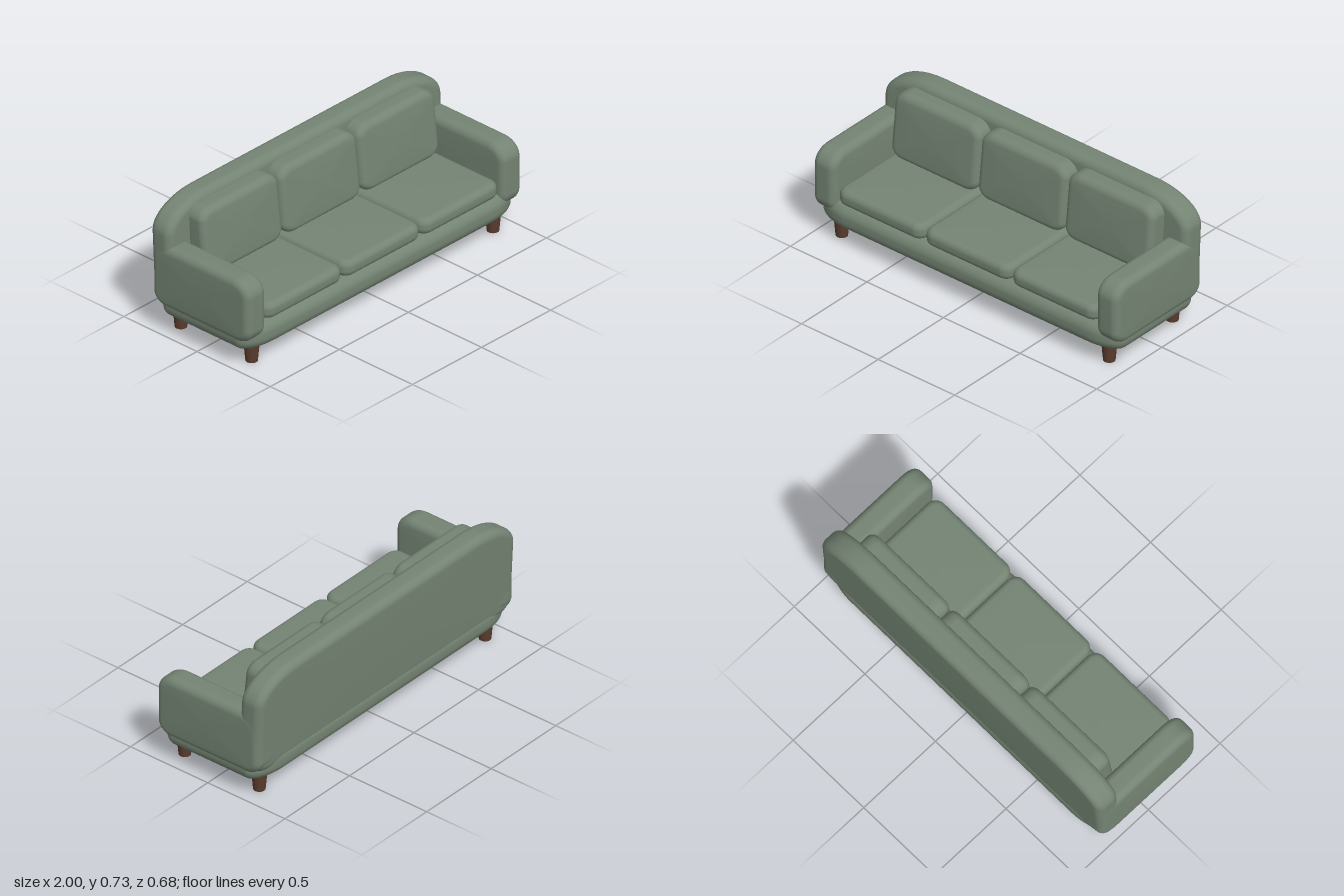
import * as THREE from 'three';
import { mergeVertices } from 'three/addons/utils/BufferGeometryUtils.js';

const fabric = new THREE.MeshStandardMaterial({ color: 0x74846f });
fabric.name = 'sage fabric';
fabric.color.set(0x748473);
const wood = new THREE.MeshStandardMaterial({ color: 0x5a3d2e });
wood.name = 'dark wood';

// Rounded rectangle outline, counter-clockwise, with elliptical corners [rx, ry]
function outline(w, h, top, bottom, inset) {
  const hw = w / 2 - inset, hh = h / 2 - inset, steps = 10, pts = [];
  const corners = [[1, 1, top], [-1, 1, top], [-1, -1, bottom], [1, -1, bottom]];
  corners.forEach(([sx, sy, r], q) => {
    const rx = Math.max(r[0] - inset, 0.012), ry = Math.max(r[1] - inset, 0.012);
    for (let k = 0; k <= steps; k++) {
      const a = (q + k / steps) * Math.PI / 2;
      pts.push([sx * (hw - rx) + rx * Math.cos(a), sy * (hh - ry) + ry * Math.sin(a)]);
    }
  });
  return pts;
}

// Upholstered pad: outline in xy, thickness along z, rolled rim and softly crowned faces
function pad({ w, h, d, top, bottom = top, rim, crown = 0 }) {
  const edge = d / 2 - crown, rings = [];
  const face = [0, 0.35, 0.65, 0.88].map((s) => [rim, s, edge + crown * (1 - s * s)]);
  rings.push(...face);
  for (let k = 0; k <= 8; k++) {
    const a = (1 - k / 8) * Math.PI / 2;
    rings.push([rim * (1 - Math.cos(a)), 1, edge - rim + rim * Math.sin(a)]);
  }
  for (let k = 0; k <= 8; k++) {
    const a = -k / 8 * Math.PI / 2;
    rings.push([rim * (1 - Math.cos(a)), 1, -edge + rim + rim * Math.sin(a)]);
  }
  rings.push(...face.reverse().map(([inset, s, z]) => [inset, s, -z]));

  const pos = [], index = [];
  let n = 0;
  for (const [inset, s, z] of rings) {
    const pts = outline(w, h, top, bottom, inset);
    n = pts.length;
    for (const [x, y] of pts) pos.push(x * s, y * s, z);
  }
  for (let i = 0; i < rings.length - 1; i++) {
    for (let j = 0; j < n; j++) {
      const a = i * n + j, b = i * n + (j + 1) % n;
      index.push(a, a + n, b, b, a + n, b + n);
    }
  }
  const g = new THREE.BufferGeometry();
  g.setAttribute('position', new THREE.Float32BufferAttribute(pos, 3));
  g.setIndex(index);
  return mergeVertices(g, 1e-5);
}

// Tilts a pad backwards by sliding z with height
function lean(g, slope) {
  const p = g.attributes.position;
  for (let i = 0; i < p.count; i++) p.setZ(i, p.getZ(i) - slope * p.getY(i));
  return g;
}

export function createModel() {
  const sofa = new THREE.Group();
  sofa.name = 'sofa';
  const add = (name, geometry, material, x, y, z) => {
    if (material === fabric) geometry.computeVertexNormals();
    const mesh = new THREE.Mesh(geometry, material);
    mesh.name = name;
    mesh.position.set(x, y, z);
    sofa.add(mesh);
  };

  // Base, rounded in plan
  add('base', pad({ w: 1.972, h: 0.665, d: 0.16, top: [0.2, 0.1], rim: 0.06, crown: 0.009 })
    .rotateX(-Math.PI / 2), fabric, 0, 0.165, 0.0125);

  // Backrest with broad upper corners
  add('backrest', lean(pad({ w: 1.99, h: 0.575, d: 0.145, top: [0.3, 0.16], bottom: [0.1, 0.09],
    rim: 0.045, crown: 0.003 }), 0.05), fabric, 0, 0.4375, -0.258);

  // Arms and legs, mirrored
  for (const [side, label] of [[1, 'left'], [-1, 'right']]) {
    add(label + 'Arm', pad({ w: 0.663, h: 0.355, d: 0.15, top: [0.11, 0.09], bottom: [0.09, 0.08],
      rim: 0.042, crown: 0.004 }).rotateY(Math.PI / 2), fabric, side * 0.925, 0.331, 0.0115);
    for (const [z, end] of [[0.254, 'Front'], [-0.229, 'Back']]) {
      add(label + end + 'Leg', new THREE.CylinderGeometry(0.043, 0.0315, 0.13, 24),
        wood, side * 0.874, 0.065, z);
    }
  }

  // Three seat cushions and three back cushions
  for (let i = -1; i <= 1; i++) {
    add('seatCushion', pad({ w: 0.562, h: 0.54, d: 0.1, top: [0.06, 0.06], rim: 0.036, crown: 0.005 })
      .rotateX(-Math.PI / 2), fabric, i * 0.567, 0.281, 0.067);
    add('backCushion', lean(pad({ w: 0.562, h: 0.37, d: 0.14, top: [0.08, 0.065], rim: 0.038, crown: 0.006 }),
      0.11), fabric, i * 0.567, 0.501, -0.155);
  }
  return sofa;
}
